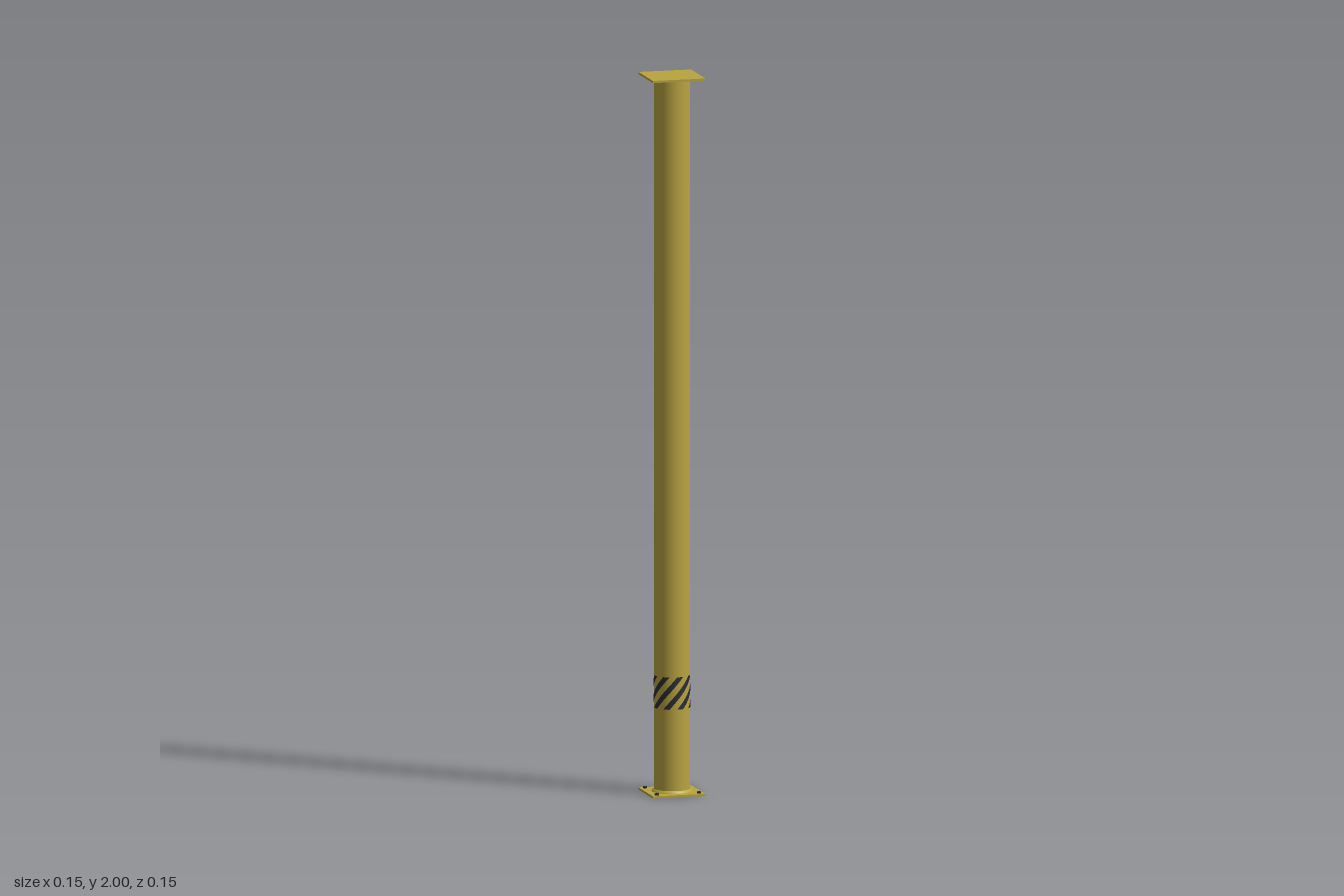
import * as THREE from 'three';

export function createModel() {
  const model = new THREE.Group();
  const paint = new THREE.MeshStandardMaterial({ color: 0xb8a440 });
  paint.name = 'mustardPaint';
  const dark = new THREE.MeshStandardMaterial({ color: 0x2b2c34 });
  dark.name = 'darkPaint';

  const add = (name, geometry, material, x = 0, y = 0, z = 0) => {
    const mesh = new THREE.Mesh(geometry, material);
    mesh.name = name;
    mesh.position.set(x, y, z);
    model.add(mesh);
    return mesh;
  };

  const size = 0.15, plate = 0.006, radius = 0.05;

  // Square end plates and the round post between them
  add('basePlate', new THREE.BoxGeometry(size, plate, size), paint, 0, plate / 2, 0);
  add('topPlate', new THREE.BoxGeometry(size, plate, size), paint, 0, 2 - plate / 2, 0);
  add('post', new THREE.CylinderGeometry(radius, radius, 2 - 2 * plate, 48, 1, true), paint, 0, 1, 0);

  // Low weld collar round the foot
  const collar = [[0.056, plate], [0.055, plate + 0.003], [radius, plate + 0.007]];
  add('weldCollar', new THREE.LatheGeometry(collar.map(p => new THREE.Vector2(...p)), 48), paint);

  // Anchor bolts in the base plate corners
  const bolt = new THREE.CylinderGeometry(0.006, 0.006, 0.005, 6);
  for (const x of [-1, 1]) for (const z of [-1, 1])
    add('anchorBolt', bolt, dark, x * 0.06, plate + 0.0025, z * 0.06);

  // Slanted warning stripes wrapped round the post, rising to the right
  const stripes = 8, pitch = Math.PI * 2 / stripes, width = pitch * 0.46;
  const bottom = 0.24, height = 0.09, twist = Math.PI / 2, r = radius + 0.0006;
  for (let i = 0; i < stripes; i++) {
    const g = new THREE.PlaneGeometry(1, 1, 4, 12);
    const p = g.attributes.position, n = g.attributes.normal;
    for (let k = 0; k < p.count; k++) {
      const v = p.getY(k);
      const a = 0.2 + i * pitch + p.getX(k) * width + v * twist;
      p.setXYZ(k, Math.sin(a) * r, bottom + (v + 0.5) * height, Math.cos(a) * r);
      n.setXYZ(k, Math.sin(a), 0, Math.cos(a));
    }
    add('warningStripe', g, dark);
  }
  return model;
}
